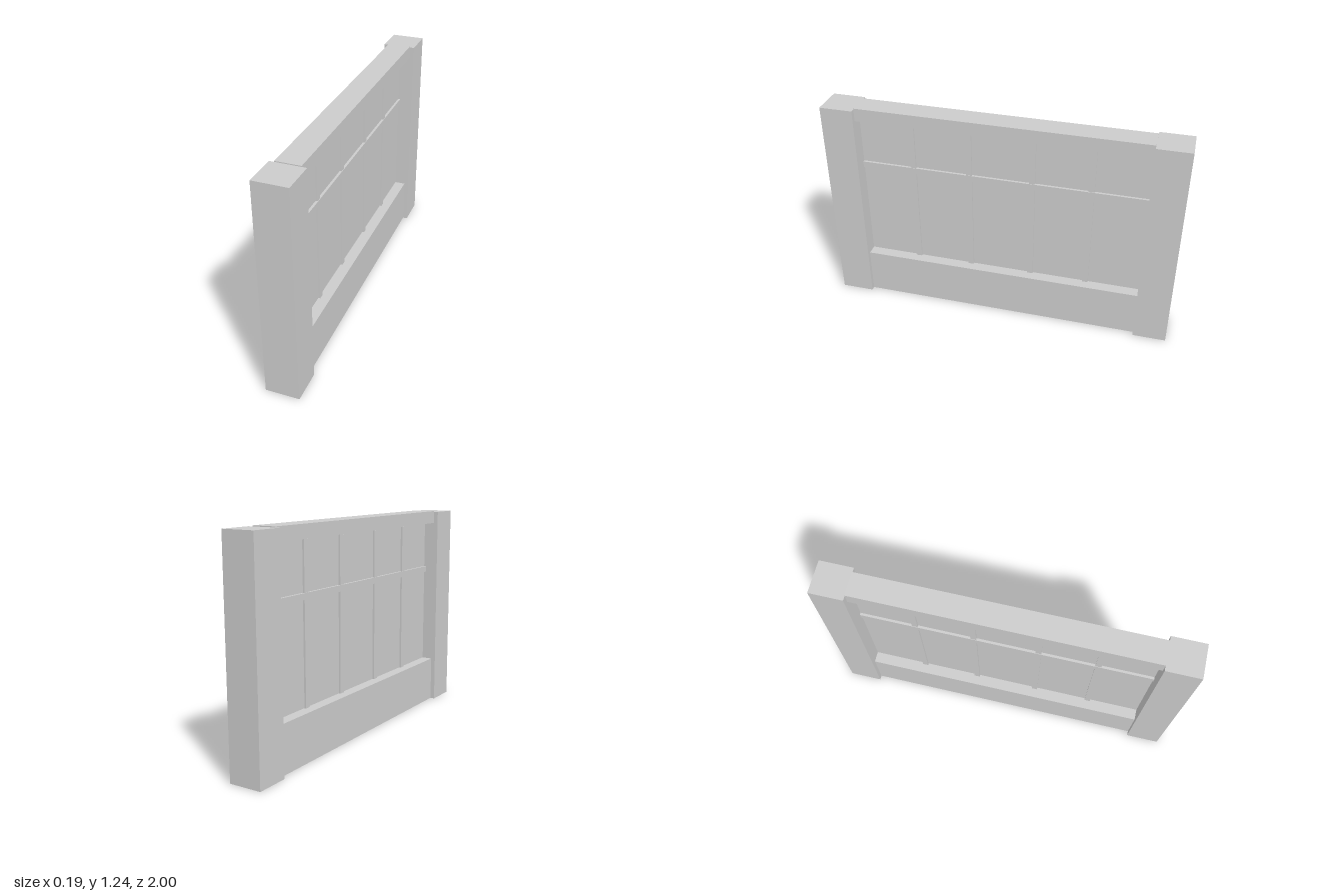
import * as THREE from 'three';

export function createModel() {
  const group = new THREE.Group();
  const material = new THREE.MeshStandardMaterial({ color: 0xcccccc, flatShading: true });

  // Box centred on x = 0, spanning y0..y1 and z0..z1
  function bar(name, width, y0, y1, z0, z1) {
    const mesh = new THREE.Mesh(new THREE.BoxGeometry(width, y1 - y0, z1 - z0), material);
    mesh.name = name;
    mesh.position.set(0, (y0 + y1) / 2, (z0 + z1) / 2);
    group.add(mesh);
  }

  const inner = 0.812; // inner face of the posts

  // End posts
  bar('frontPost', 0.188, 0, 1.23, inner, 1);
  bar('backPost', 0.188, 0, 1.23, -1, -inner);

  // Rails between the posts
  bar('bottomRail', 0.135, 0, 0.27, -inner, inner);
  bar('topRail', 0.135, 1.16, 1.235, -inner, inner);

  // Thin window pane
  bar('pane', 0.008, 0.27, 1.16, -inner, inner);

  // Glazing bars, passing through the pane
  bar('horizontalGlazingBar', 0.036, 0.845, 0.88, -inner, inner);
  for (const z of [0.511, 0.184, -0.175, -0.502]) {
    bar('verticalGlazingBar', 0.03, 0.27, 1.152, z - 0.016, z + 0.016);
  }

  return group;
}
